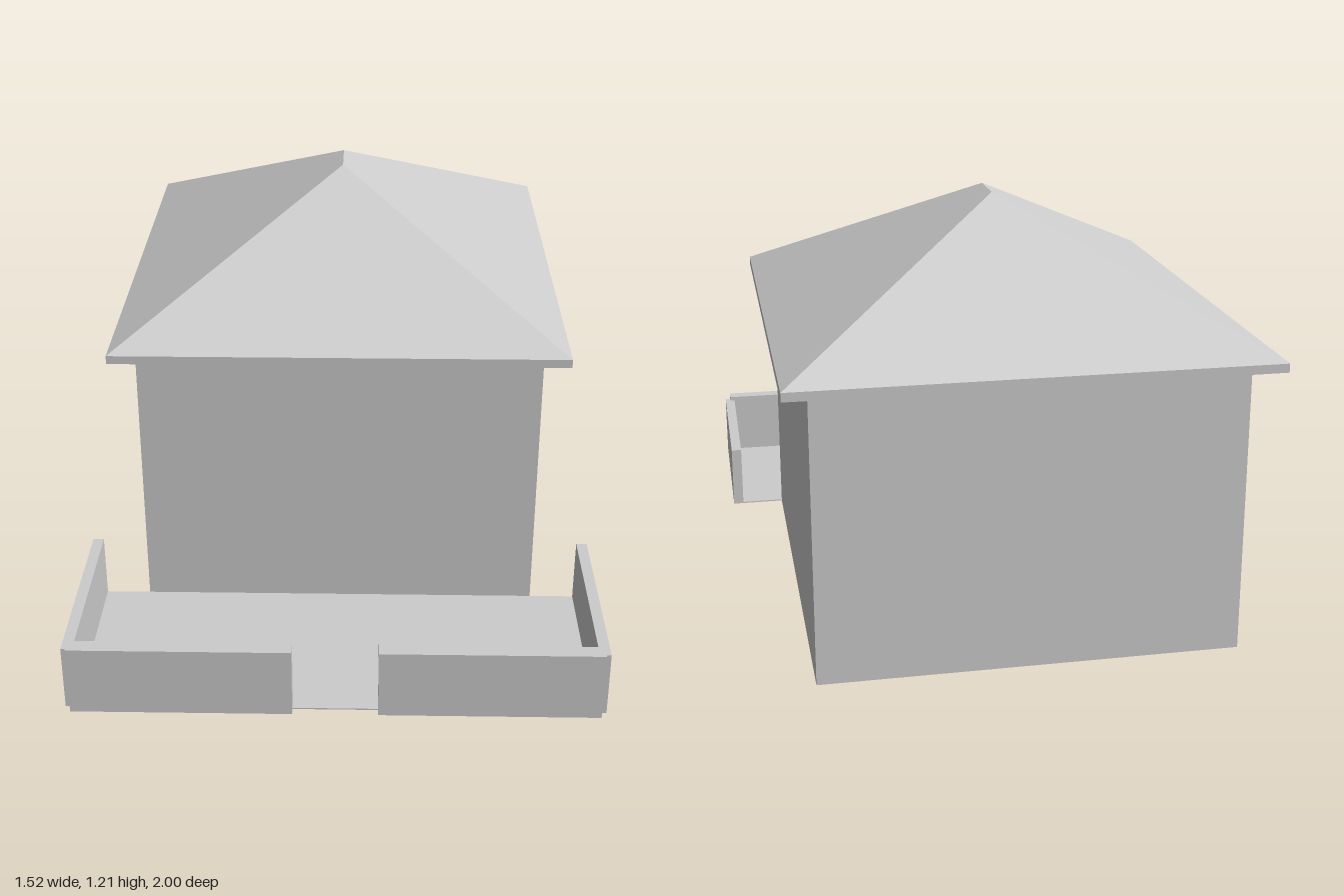
import * as THREE from 'three';

const grey = new THREE.MeshStandardMaterial({ color: 0xcccccc, side: THREE.DoubleSide });

// Flat-faced surface from quads or triangles, corners counter-clockwise from outside
function faces(name, list) {
  const pos = [];
  for (const f of list)
    for (let i = 1; i < f.length - 1; i++) pos.push(...f[0], ...f[i], ...f[i + 1]);
  const geo = new THREE.BufferGeometry();
  geo.setAttribute('position', new THREE.Float32BufferAttribute(pos, 3));
  geo.computeVertexNormals();
  const mesh = new THREE.Mesh(geo, grey);
  mesh.name = name;
  return mesh;
}

// Box given by its minimum and maximum corners
function box(name, [x0, y0, z0], [x1, y1, z1]) {
  const mesh = new THREE.Mesh(new THREE.BoxGeometry(x1 - x0, y1 - y0, z1 - z0), grey);
  mesh.position.set((x0 + x1) / 2, (y0 + y1) / 2, (z0 + z1) / 2);
  mesh.name = name;
  return mesh;
}

// Rectangle corners at height y, counter-clockwise seen from above
const ring = (x, y, z0, z1) => [[-x, y, z1], [x, y, z1], [x, y, z0], [-x, y, z0]];

// Upright or sloping band of four quads between two rings
const band = (low, high) => low.map((p, i) => {
  const j = (i + 1) % 4;
  return [p, low[j], high[j], high[i]];
});

export function createModel() {
  const model = new THREE.Group();
  model.name = 'house';
  const eaveY = 0.835, slopeY = 0.86, ridgeY = 1.213;

  // House walls: a hollow shell without floor or ceiling
  const wallTop = ring(0.595, eaveY, -0.92, 0.41);
  model.add(faces('houseWalls', band(ring(0.595, 0, -0.92, 0.41), wallTop)));

  // Hipped roof with fascia and an open soffit
  const roof = new THREE.Group();
  roof.name = 'roof';
  const eave = ring(0.667, eaveY, -1, 0.485);
  const edge = ring(0.667, slopeY, -1, 0.485);
  const front = [0, ridgeY, -0.185], back = [0, ridgeY, -0.33];
  roof.add(
    faces('fascia', band(eave, edge)),
    faces('soffit', band(wallTop, eave)),
    faces('roofSlopes', [
      [edge[0], edge[1], front],
      [edge[1], edge[2], back, front],
      [edge[2], edge[3], back],
      [edge[3], edge[0], front, back],
    ]),
  );
  model.add(roof);

  // Front yard with low walls and a gap for the entrance
  model.add(box('yardFloor', [-0.76, 0, 0.41], [0.76, 0.004, 0.975]));
  for (const [side, s] of [['left', 1], ['right', -1]]) {
    const mirrored = (name, x0, x1, y1, z0, z1) =>
      box(name, [Math.min(s * x0, s * x1), 0.002, z0], [Math.max(s * x0, s * x1), y1, z1]);
    model.add(
      mirrored(side + 'FrontYardWall', 0.12, 0.743, 0.21, 0.955, 1),
      mirrored(side + 'SideYardWall', 0.728, 0.76, 0.197, 0.41, 0.975),
    );
  }
  return model;
}
